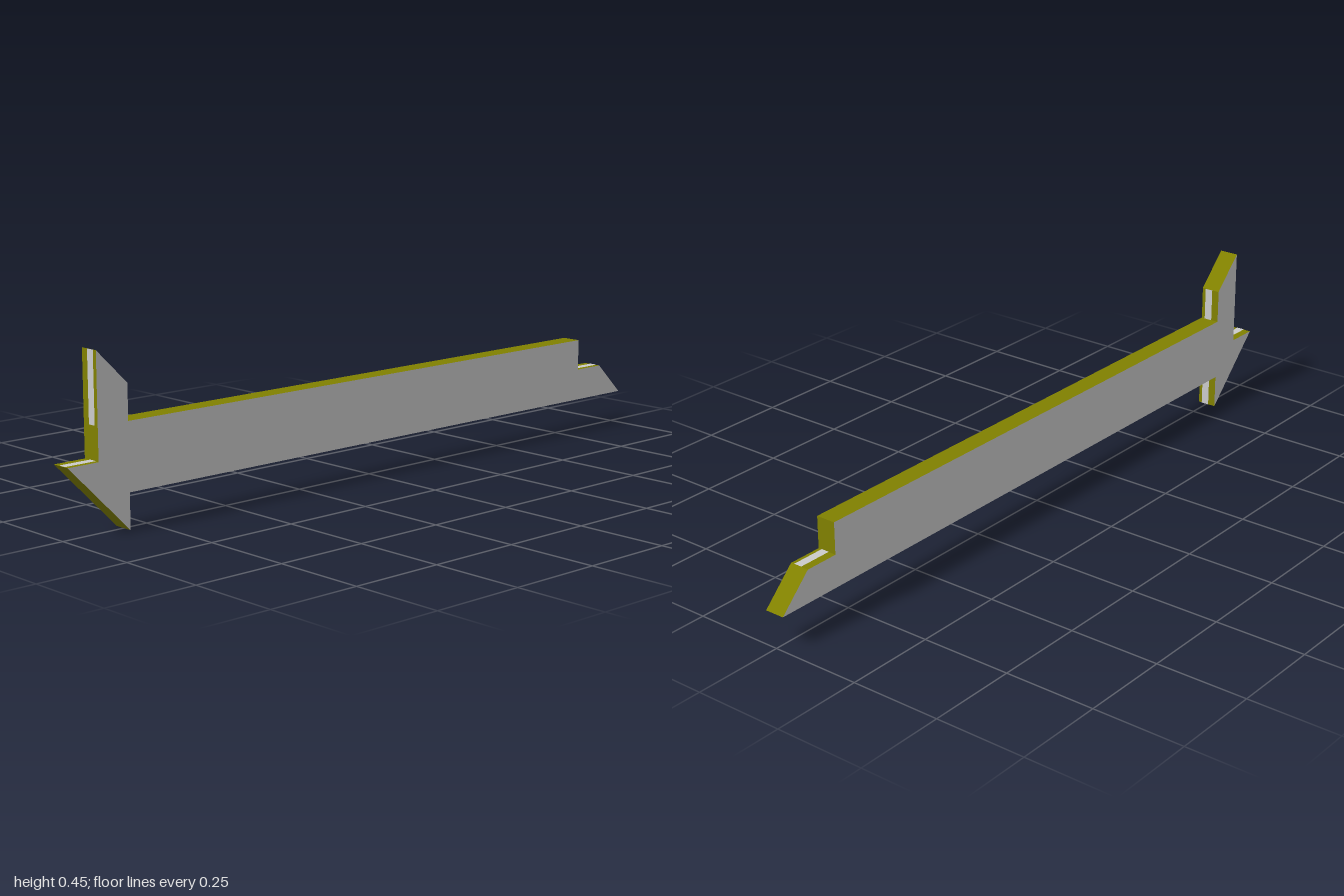
import * as THREE from 'three';

const HALF = 0.0275; // half thickness of the plate

export function createModel() {
  const group = new THREE.Group();
  const grey = new THREE.MeshStandardMaterial({ color: 0xcccccc });
  const olive = new THREE.MeshStandardMaterial({ color: 0x808000 });

  // Flat bar with a barbed head at one end and a stepped tip at the other
  const outline = [
    [-1, 0.183], [-0.82, 0], [-0.82, 0.094], [1, 0.094], [0.91, 0.183], [0.815, 0.183],
    [0.815, 0.27], [-0.82, 0.27], [-0.82, 0.363], [-0.91, 0.453], [-0.91, 0.183],
  ].map(([x, y]) => new THREE.Vector2(x, y));
  const plate = new THREE.ExtrudeGeometry(new THREE.Shape(outline), { depth: HALF * 2, bevelEnabled: false });
  plate.translate(0, 0, -HALF);
  const bar = new THREE.Mesh(plate, [grey, olive]);
  bar.name = 'bar';
  group.add(bar);

  // Grey inlay strips set in the edges of the tabs; each runs from a to b along the edge
  const addStrip = (name, ax, ay, bx, by, nx, ny) => {
    const length = Math.hypot(bx - ax, by - ay);
    const strip = new THREE.Mesh(new THREE.PlaneGeometry(0.023, length), grey);
    const normal = new THREE.Vector3(nx, ny, 0);
    const along = new THREE.Vector3(-ny, nx, 0);
    const across = new THREE.Vector3().crossVectors(along, normal);
    strip.quaternion.setFromRotationMatrix(new THREE.Matrix4().makeBasis(across, along, normal));
    strip.position.set((ax + bx) / 2 + nx * 0.001, (ay + by) / 2 + ny * 0.001, 0.0055);
    strip.name = name;
    group.add(strip);
  };
  addStrip('lowerBarbStrip', -0.82, 0, -0.82, 0.092, 1, 0);
  addStrip('headStrip', -1, 0.183, -0.91, 0.183, 0, 1);
  addStrip('upperBarbStrip', -0.91, 0.27, -0.91, 0.453, -1, 0);
  addStrip('upperBarbInnerStrip', -0.82, 0.27, -0.82, 0.363, 1, 0);
  addStrip('stepStrip', 0.815, 0.183, 0.91, 0.183, 0, 1);
  addStrip('tipStrip', 0.815, 0.094, 1, 0.094, 0, -1);

  return group;
}
